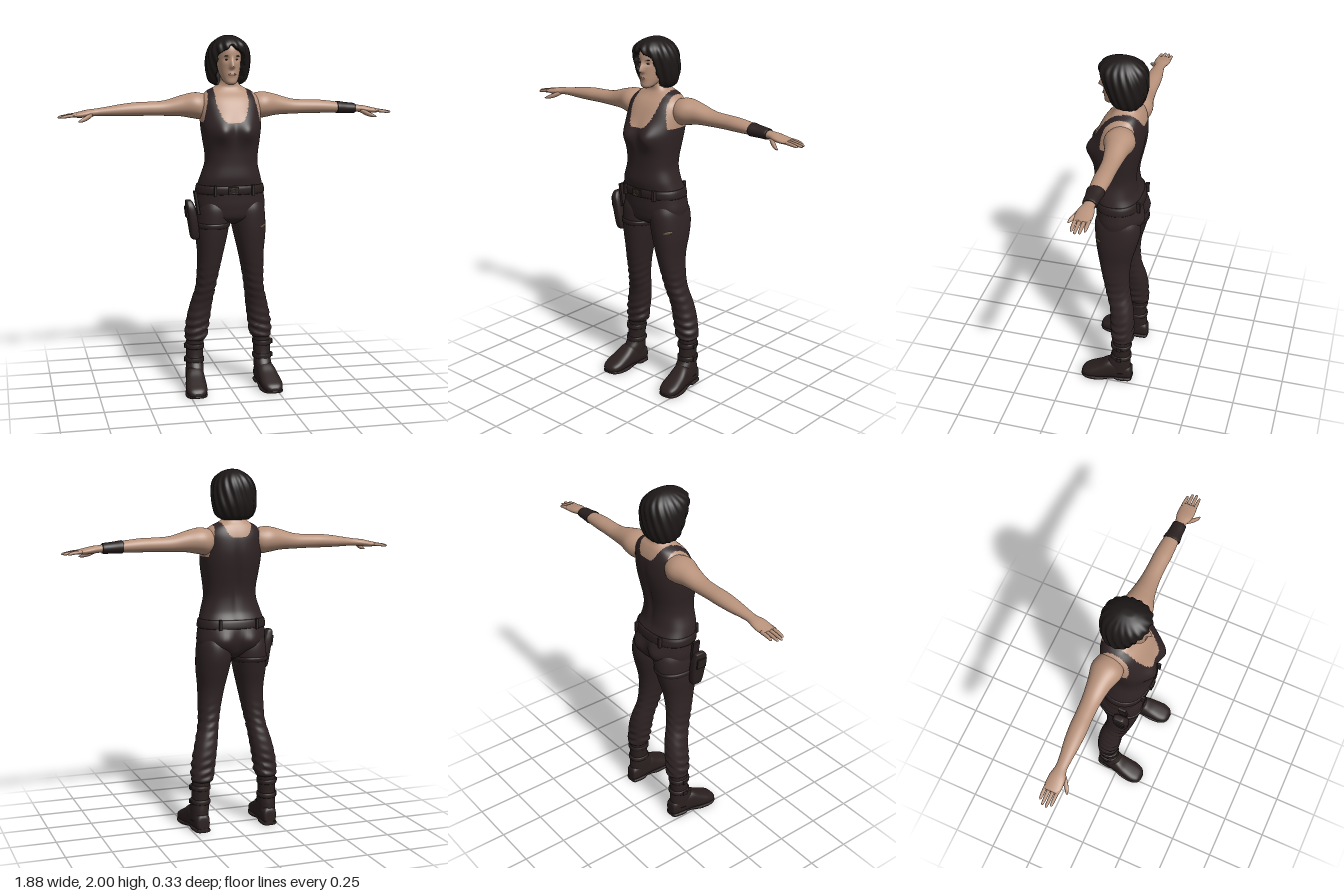
import * as THREE from 'three';

const mat = (name, color) => Object.assign(new THREE.MeshStandardMaterial({ color }), { name });
const skin = mat('skin', 0xb8927b), cloth = mat('dark cloth', 0x302425), hairMat = mat('hair', 0x1e1818);
const leather = mat('leather', 0x2b2020), brass = mat('brass', 0x65503a), lip = mat('lips', 0x95685a);

const gauss = (a, b) => Math.exp(-a * a - b * b);
const smooth = THREE.MathUtils.smoothstep;
const spow = (v, e) => Math.sign(v) * Math.abs(v) ** e;

// Catmull-Rom blend of whole rows
function sample(rows, f) {
  const i = Math.min(Math.floor(f), rows.length - 2), t = f - i;
  const r = k => rows[Math.max(0, Math.min(rows.length - 1, k))];
  return rows[0].map((_, c) => {
    const p = r(i - 1)[c], q = r(i)[c], s = r(i + 1)[c], w = r(i + 2)[c];
    return q + 0.5 * t * (s - p + t * (2 * p - 5 * q + 4 * s - w + t * (3 * (q - s) + w - p)));
  });
}

// Closed skin over cross-sections. Row: [t, centre a, half-width a, min b, max b]
// axis y: a = x, b = z | axis x: a = y, b = z | axis z: a = x, b = y
function loft(name, rows, mats, { axis = 'y', side = 1, nu = 32, sub = 6, e = 0.9, deform, pick } = {}) {
  const nv = (rows.length - 1) * sub, pos = [], list = [].concat(mats), tris = list.map(() => []);
  const put = (t, a, b) => {
    const p = axis === 'y' ? new THREE.Vector3(a, t, b)
      : axis === 'x' ? new THREE.Vector3(t, a, b) : new THREE.Vector3(a, b, t);
    if (deform) deform(p);
    pos.push(p.x * side, p.y, p.z);
  };
  for (let j = 0; j <= nv; j++) {
    const [t, a, ra, b0, b1] = sample(rows, j / sub);
    for (let i = 0; i < nu; i++) {
      const th = i / nu * Math.PI * 2;
      put(t, a + ra * spow(Math.cos(th), e), (b0 + b1) / 2 + (b1 - b0) / 2 * spow(Math.sin(th), e));
    }
  }
  for (const r of [rows[0], rows[rows.length - 1]]) put(r[0], r[1], (r[3] + r[4]) / 2);
  const flip = (axis !== 'y') !== (side < 0);
  const tri = (a, b, c) => {
    const mid = k => (pos[a * 3 + k] + pos[b * 3 + k] + pos[c * 3 + k]) / 3;
    tris[pick ? pick(mid(0), mid(1), mid(2)) : 0].push(a, flip ? c : b, flip ? b : c);
  };
  const end = (nv + 1) * nu;
  for (let i = 0; i < nu; i++) {
    const n = (i + 1) % nu;
    for (let j = 0; j < nv; j++) {
      const a = j * nu + i, b = j * nu + n;
      tri(a, a + nu, b);
      tri(b, a + nu, b + nu);
    }
    tri(end, i, n);
    tri(end + 1, nv * nu + n, nv * nu + i);
  }
  const g = new THREE.BufferGeometry();
  g.setAttribute('position', new THREE.Float32BufferAttribute(pos, 3));
  g.setIndex(tris.flat());
  let start = 0;
  if (list.length > 1) tris.forEach((t, k) => { g.addGroup(start, t.length, k); start += t.length; });
  g.computeVertexNormals();
  const m = new THREE.Mesh(g, mats);
  m.name = name;
  return m;
}

function solid(name, geo, material, p, rot = [0, 0, 0], scale = [1, 1, 1]) {
  const m = new THREE.Mesh(geo, material);
  m.name = name;
  m.position.set(...p); m.rotation.set(...rot); m.scale.set(...scale);
  return m;
}

// Tank top and bare chest: 0 = shirt, 1 = skin
function shirtOrSkin(x, y, z) {
  const ax = Math.abs(x + 0.005);
  if (y > 1.725) return 1;
  const low = z > -0.04 ? 1.53 : 1.635;
  if (ax < 0.09 && y > low + 0.1 * (ax / 0.088) ** 4) return 1;
  if (y > 1.53 && ax > 0.125 + (1.68 - y) * 0.2) return 1;
  return 0;
}

function torso() {
  return loft('torso', [[1.185, -0.005, 0.18, -0.135, 0.12], [1.23, -0.005, 0.167, -0.117, 0.128], [1.3, -0.002, 0.147, -0.11, 0.126],
    [1.36, 0, 0.147, -0.115, 0.128], [1.43, 0, 0.157, -0.13, 0.132], [1.5, 0, 0.166, -0.145, 0.132], [1.56, 0, 0.168, -0.152, 0.116],
    [1.62, 0, 0.166, -0.15, 0.09], [1.66, 0, 0.156, -0.142, 0.064], [1.695, -0.002, 0.124, -0.128, 0.03], [1.72, -0.005, 0.076, -0.112, 0.016],
    [1.75, -0.008, 0.051, -0.1, 0.02], [1.8, -0.01, 0.046, -0.098, 0.03], [1.85, -0.01, 0.04, -0.09, 0.02]], [cloth, skin], {
    nu: 112, sub: 8, e: 0.85, pick: shirtOrSkin,
    deform: p => {
      if (p.z > 0) p.z += 0.036 * gauss((Math.abs(p.x) - 0.07) / 0.055, (p.y - 1.48) / 0.06);
      else p.z += 0.012 * gauss(p.x / 0.02, (p.y - 1.4) / 0.15); // spine groove
    },
  });
}

function head() {
  const g = new THREE.Group();
  g.name = 'head';
  g.add(loft('face', [[1.733, 0, 0.014, 0.035, 0.066], [1.745, 0, 0.033, 0.0, 0.078], [1.775, 0, 0.049, -0.05, 0.08], [1.82, 0, 0.06, -0.09, 0.082],
    [1.87, 0, 0.065, -0.11, 0.085], [1.92, 0, 0.063, -0.115, 0.084], [1.955, 0, 0.05, -0.1, 0.065], [1.975, 0, 0.02, -0.05, 0.03]], skin, {
    nu: 80, e: 0.95,
    deform: p => {
      if (p.z < 0) return;
      const ax = Math.abs(p.x), ramp = smooth(p.y, 1.815, 1.828) * (1 - smooth(p.y, 1.825, 1.89));
      p.z += 0.03 * ramp * Math.exp(-((p.x / 0.012) ** 2)); // nose
      p.z -= 0.01 * gauss((ax - 0.028) / 0.015, (p.y - 1.87) / 0.012); // eye sockets
      p.z += 0.005 * gauss(p.x / 0.02, (p.y - 1.79) / 0.012); // mouth
    },
  }));
  const ball = new THREE.SphereGeometry(1, 16, 10);
  for (const s of [-1, 1]) {
    g.add(solid('eye', ball, hairMat, [s * 0.028, 1.868, 0.068], [0, s * 0.3, 0], [0.009, 0.0035, 0.004]));
    g.add(solid('eyebrow', ball, hairMat, [s * 0.029, 1.888, 0.074], [0, s * 0.4, -s * 0.1], [0.015, 0.0025, 0.004]));
  }
  g.add(solid('lips', ball, lip, [0, 1.789, 0.084], [0, 0, 0], [0.02, 0.006, 0.004]));
  // Wavy bob: the front is pushed in to open around the face
  g.add(loft('hair', [[1.728, 0, 0.07, -0.11, -0.01], [1.75, 0, 0.102, -0.13, 0.032], [1.8, 0, 0.118, -0.147, 0.056], [1.86, 0, 0.121, -0.152, 0.08],
    [1.91, 0, 0.114, -0.15, 0.1], [1.95, 0, 0.095, -0.134, 0.102], [1.98, 0, 0.062, -0.1, 0.07], [1.996, 0, 0.028, -0.06, 0.025], [1.999, 0, 0.008, -0.03, 0]], hairMat, {
    nu: 128, sub: 8,
    deform: p => {
      const th = Math.atan2(p.x, p.z + 0.03), k = 1 + 0.03 * Math.sin(th * 17 + p.y * 45) * (1 - smooth(p.y, 1.94, 2));
      p.x *= k; p.z = (p.z + 0.03) * k - 0.03;
      const w = 0.062 * (1 - smooth(p.y, 1.88, 1.95)) + 0.004 * Math.sin(p.y * 110);
      const open = (1 - smooth(Math.abs(p.x + 0.004), w - 0.004, w + 0.01)) * (1 - smooth(p.y, 1.93, 1.95));
      if (p.z > -0.02) p.z += (-0.02 - p.z) * open;
    },
  }));
  g.position.x = -0.01;
  return g;
}

function arm(side) {
  const g = new THREE.Group(), o = { axis: 'x', side };
  g.name = side > 0 ? 'leftArm' : 'rightArm';
  g.add(loft('armAndPalm', [[0.1, 1.625, 0.04, -0.1, -0.01], [0.15, 1.613, 0.07, -0.13, 0.022], [0.2, 1.617, 0.071, -0.137, 0.028], [0.27, 1.615, 0.057, -0.122, 0.005],
    [0.36, 1.604, 0.042, -0.11, -0.01], [0.45, 1.602, 0.038, -0.105, -0.013], [0.52, 1.601, 0.037, -0.104, -0.01], [0.6, 1.597, 0.032, -0.097, -0.012],
    [0.68, 1.592, 0.024, -0.084, -0.018], [0.735, 1.588, 0.02, -0.08, -0.02], [0.78, 1.583, 0.02, -0.09, -0.006], [0.82, 1.577, 0.017, -0.092, -0.003],
    [0.86, 1.574, 0.011, -0.09, -0.007]], skin, { ...o, e: 1 }));
  [[-0.081, 0.915], [-0.06, 0.935], [-0.038, 0.94], [-0.017, 0.925]].forEach(([z, tip]) =>
    g.add(loft('finger', [[0.84, 1.575, 0.009, z - 0.01, z + 0.01], [0.88, 1.572, 0.009, z - 0.009, z + 0.009],
      [tip - 0.01, 1.566, 0.007, z - 0.007, z + 0.007], [tip, 1.564, 0.002, z - 0.002, z + 0.002]], skin, { ...o, nu: 10, sub: 4 })));
  g.add(loft('thumb', [[0.755, 1.578, 0.012, -0.045, -0.015], [0.785, 1.562, 0.014, -0.022, 0.009], [0.815, 1.55, 0.01, 0.004, 0.025],
    [0.835, 1.544, 0.003, 0.02, 0.028]], skin, { ...o, nu: 12, sub: 4 }));
  if (side > 0) g.add(loft('wristband', [[0.62, 1.595, 0.03, -0.094, -0.01], [0.625, 1.595, 0.035, -0.099, -0.006], [0.67, 1.592, 0.031, -0.091, -0.011],
    [0.722, 1.589, 0.028, -0.087, -0.013], [0.728, 1.589, 0.021, -0.081, -0.019]], leather, { ...o, sub: 4, e: 1 }));
  return g;
}

function leg(side) {
  const g = new THREE.Group(), o = { side };
  g.name = side > 0 ? 'leftLeg' : 'rightLeg';
  // Trousers, creased at the knee and bunched over the boot
  g.add(loft('trouserLeg', [[0.285, 0.19, 0.05, -0.125, -0.02], [0.3, 0.189, 0.062, -0.137, -0.012], [0.35, 0.184, 0.065, -0.135, -0.008], [0.42, 0.174, 0.065, -0.135, 0],
    [0.5, 0.159, 0.061, -0.125, 0.008], [0.6, 0.139, 0.055, -0.103, 0.036], [0.7, 0.127, 0.062, -0.095, 0.06], [0.8, 0.116, 0.072, -0.104, 0.08],
    [0.9, 0.109, 0.088, -0.13, 0.096], [0.98, 0.102, 0.095, -0.148, 0.104], [1.05, 0.097, 0.093, -0.145, 0.105], [1.1, 0.095, 0.08, -0.12, 0.09]], cloth, {
    ...o, nu: 40, sub: 8,
    deform: p => {
      const amp = 0.004 * (gauss((p.y - 0.35) / 0.08, 0) + 0.6 * gauss((p.y - 0.6) / 0.1, 0));
      const wave = amp * Math.sin(p.y * 130 + p.x * 40 + p.z * 25);
      p.x += wave * Math.sign(p.x - 0.16); p.z += wave;
    },
  }));
  g.add(loft('bootShaft', [[0.06, 0.203, 0.048, -0.125, 0.03], [0.12, 0.2, 0.05, -0.124, 0.018], [0.17, 0.198, 0.047, -0.12, -0.012],
    [0.25, 0.196, 0.049, -0.123, -0.02], [0.32, 0.19, 0.05, -0.126, -0.02]], leather, o));
  g.add(loft('bootFoot', [[-0.132, 0.198, 0.02, 0.02, 0.07], [-0.122, 0.199, 0.038, 0.008, 0.1], [-0.06, 0.202, 0.048, 0.006, 0.13], [0, 0.207, 0.052, 0.006, 0.138],
    [0.055, 0.213, 0.058, 0.006, 0.103], [0.11, 0.217, 0.059, 0.006, 0.074], [0.148, 0.219, 0.045, 0.008, 0.054], [0.164, 0.22, 0.02, 0.014, 0.035]],
  leather, { ...o, axis: 'z', e: 0.75 }));
  g.add(loft('sole', [[-0.133, 0.198, 0.026, 0.001, 0.022], [-0.12, 0.199, 0.042, 0, 0.022], [-0.06, 0.202, 0.048, 0, 0.022], [-0.035, 0.204, 0.046, 0.01, 0.022],
    [0, 0.208, 0.05, 0.008, 0.022], [0.05, 0.213, 0.06, 0, 0.02], [0.11, 0.217, 0.061, 0, 0.02], [0.15, 0.219, 0.046, 0.003, 0.02], [0.166, 0.22, 0.02, 0.008, 0.018]],
  leather, { ...o, axis: 'z', e: 0.5 }));
  for (const y of [0.17, 0.25]) {
    g.add(loft('bootStrap', [[y - 0.014, 0.198, 0.046, -0.12, -0.012], [y - 0.01, 0.198, 0.054, -0.128, -0.008], [y + 0.01, 0.198, 0.054, -0.128, -0.008],
      [y + 0.014, 0.198, 0.046, -0.12, -0.012]], leather, { ...o, sub: 3 }));
    g.add(solid('bootBuckle', new THREE.BoxGeometry(0.01, 0.024, 0.028), leather, [side * 0.253, y, -0.065]));
  }
  return g;
}

function hips() {
  const g = new THREE.Group();
  g.name = 'hips';
  g.add(loft('trouserSeat', [[0.965, 0, 0.05, -0.07, 0.04], [1.0, 0, 0.17, -0.118, 0.095], [1.06, 0, 0.193, -0.143, 0.11], [1.12, -0.002, 0.19, -0.145, 0.115],
    [1.17, -0.004, 0.182, -0.136, 0.118], [1.2, -0.005, 0.174, -0.125, 0.116]], cloth, {
    nu: 64, sub: 8, e: 0.88,
    deform: p => {
      if (p.z < 0) p.z -= 0.026 * gauss((Math.abs(p.x) - 0.08) / 0.06, (p.y - 1.065) / 0.06) - 0.012 * gauss(p.x / 0.02, (p.y - 1.05) / 0.07);
    },
  }));
  g.add(loft('belt', [[1.138, -0.004, 0.18, -0.14, 0.11], [1.142, -0.004, 0.193, -0.149, 0.123], [1.182, -0.005, 0.187, -0.143, 0.125],
    [1.186, -0.005, 0.174, -0.13, 0.11]], leather, { nu: 64, sub: 3, e: 0.88 }));
  g.add(solid('beltBuckle', new THREE.BoxGeometry(0.055, 0.042, 0.014), leather, [-0.012, 1.162, 0.126]));
  g.add(solid('buckleFrame', new THREE.TorusGeometry(0.015, 0.003, 6, 20), brass, [-0.012, 1.162, 0.133]));
  for (const x of [-0.11, 0.1]) for (const z of [-0.136, 0.116])
    g.add(solid('beltLoop', new THREE.BoxGeometry(0.014, 0.058, 0.02), cloth, [x, 1.162, z]));
  g.add(solid('tornPatch', new THREE.SphereGeometry(1, 14, 8), brass, [0.166, 0.953, 0.073], [0, 0.75, 0.2], [0.028, 0.009, 0.005]));
  return g;
}

function holster() {
  const g = new THREE.Group();
  g.name = 'holster';
  g.add(loft('pouch', [[0.885, -0.207, 0.012, 0.015, 0.05], [0.9, -0.211, 0.024, 0, 0.066], [0.97, -0.22, 0.027, -0.008, 0.076], [1.04, -0.231, 0.027, -0.01, 0.08],
    [1.075, -0.238, 0.024, -0.006, 0.076], [1.1, -0.244, 0.017, 0.0, 0.06], [1.105, -0.245, 0.008, 0.01, 0.05]], leather, { e: 0.6, nu: 28 }));
  g.add(solid('holsterFlap', new THREE.BoxGeometry(0.014, 0.06, 0.06), leather, [-0.256, 1.04, 0.035], [0, 0, 0.12]));
  g.add(solid('hangingStrap', new THREE.BoxGeometry(0.014, 0.13, 0.045), leather, [-0.2, 1.09, 0.035], [0, 0, 0.15]));
  g.add(loft('thighStrap', [[0.945, -0.105, 0.085, -0.13, 0.095], [0.95, -0.105, 0.098, -0.146, 0.106], [0.972, -0.103, 0.099, -0.151, 0.108],
    [0.977, -0.103, 0.085, -0.135, 0.095]], leather, { sub: 3, nu: 40 }));
  return g;
}

export function createModel() {
  const g = new THREE.Group();
  g.name = 'woman';
  g.add(torso(), head(), hips(), holster());
  for (const s of [1, -1]) g.add(arm(s), leg(s));
  return g;
}
